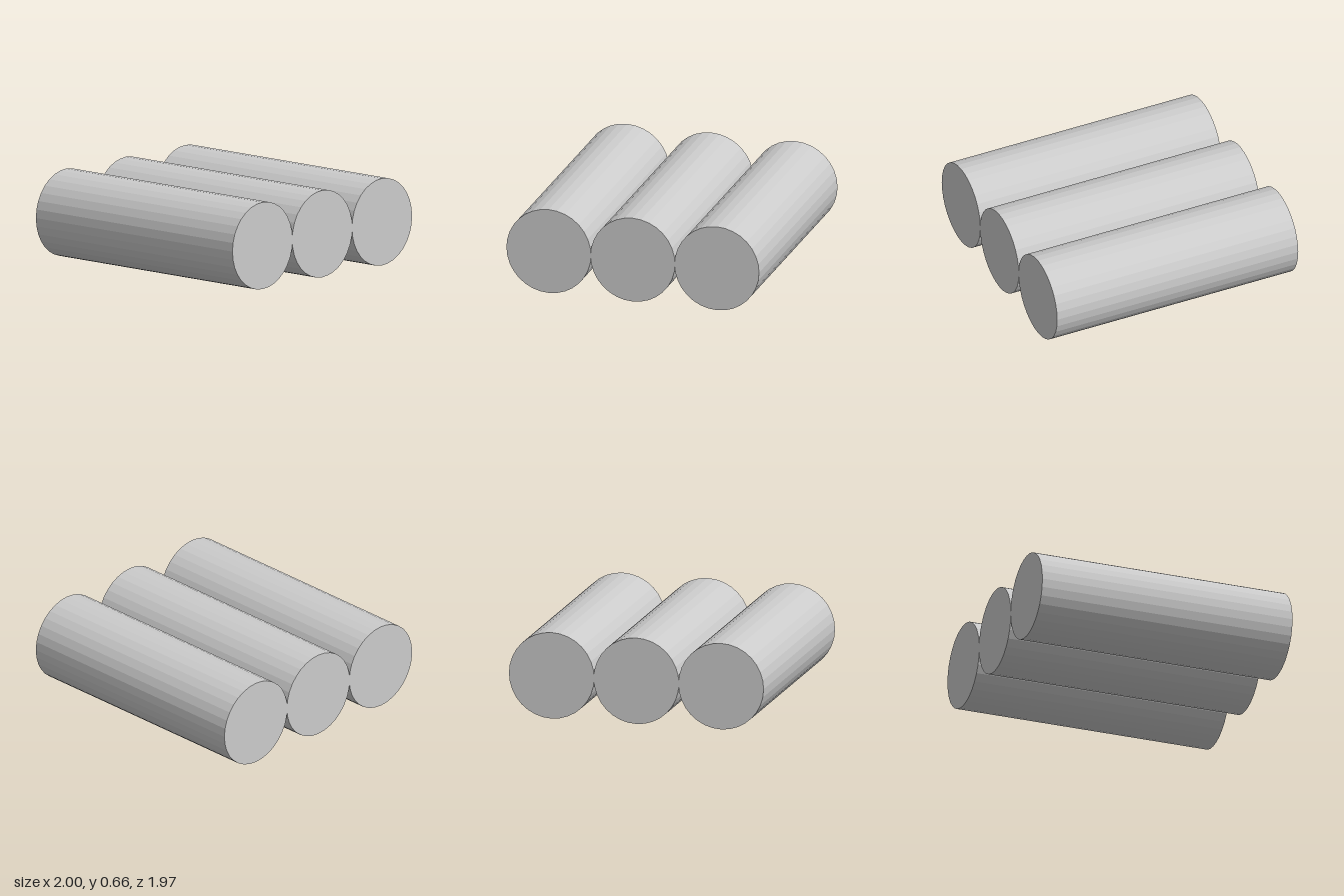
import * as THREE from 'three';

const RADIUS = 0.33;
const SPACING = 0.656;

export function createModel() {
  const model = new THREE.Group();
  model.name = 'logRow';
  const material = new THREE.MeshStandardMaterial({ color: 0xcccccc, flatShading: true });

  // One faceted cylinder laid along x, shared by all three logs
  const geometry = new THREE.CylinderGeometry(RADIUS, RADIUS, 2, 32).rotateZ(Math.PI / 2);

  // Back, middle and front logs, side by side
  ['backLog', 'middleLog', 'frontLog'].forEach((name, i) => {
    const log = new THREE.Mesh(geometry, material);
    log.name = name;
    log.position.set(0, RADIUS, (i - 1) * SPACING);
    model.add(log);
  });

  return model;
}
